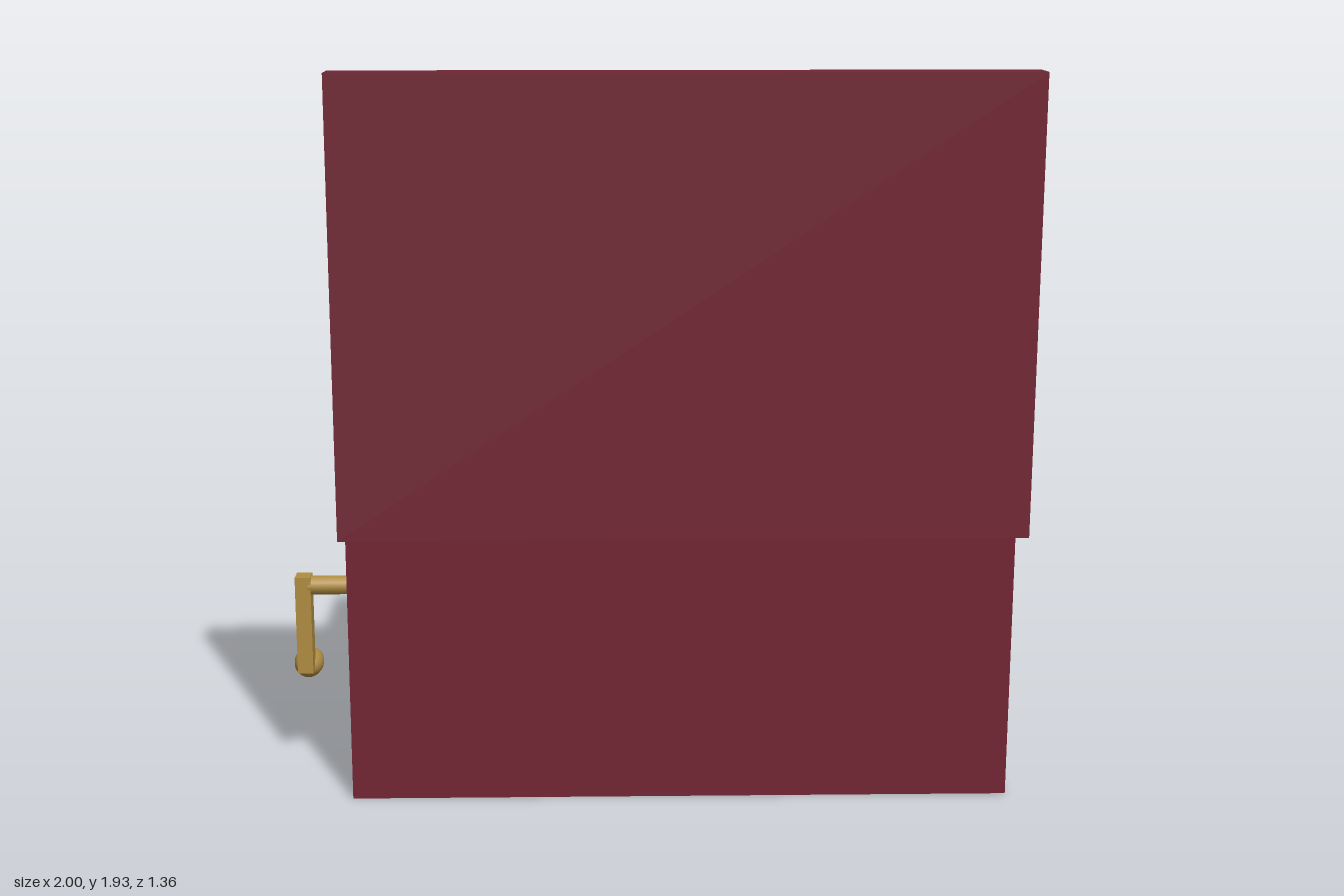
import * as THREE from 'three';

const paint = (color) => new THREE.MeshStandardMaterial({ color });

export function createModel() {
  const root = new THREE.Group();
  const wood = paint(0x722534);
  const velvet = paint(0x222228);
  const brass = paint(0xb08d42);
  const glass = paint(0xa3b3b8);
  const porcelain = paint(0xdddad4);

  const add = (parent, name, geometry, material, x = 0, y = 0, z = 0) => {
    const mesh = new THREE.Mesh(geometry, material);
    mesh.name = name;
    mesh.position.set(x, y, z);
    parent.add(mesh);
    return mesh;
  };
  // Box given by its extents along each axis
  const block = (parent, name, material, [x0, x1], [y0, y1], [z0, z1]) =>
    add(parent, name, new THREE.BoxGeometry(x1 - x0, y1 - y0, z1 - z0), material,
      (x0 + x1) / 2, (y0 + y1) / 2, (z0 + z1) / 2);

  // Case, raised stage and brass trim
  block(root, 'case', wood, [-0.762, 0.985], [0, 0.76], [-0.65, 0.514]);
  block(root, 'stage', velvet, [-0.706, 0.925], [0.75, 0.807], [-0.598, 0.456]);
  block(root, 'trimBand', brass, [-0.775, 0.997], [0.165, 0.245], [-0.68, -0.645]);

  // Upright lid with mirror
  const lid = new THREE.Group();
  lid.name = 'lid';
  root.add(lid);
  block(lid, 'lidPanel', wood, [-0.762, 0.985], [0.763, 1.93], [0.587, 0.678]);
  block(lid, 'mirror', glass, [-0.645, 0.867], [0.882, 1.815], [0.575, 0.59]);

  // Dancer on her post
  const dancer = new THREE.Group();
  dancer.name = 'dancer';
  dancer.position.set(0.11, 0, -0.068);
  root.add(dancer);
  add(dancer, 'post', new THREE.CylinderGeometry(0.023, 0.023, 0.18, 12), brass, 0, 0.88, 0);
  add(dancer, 'skirt', new THREE.ConeGeometry(0.125, 0.2, 12), porcelain, 0, 1.04, 0);
  add(dancer, 'torso', new THREE.CylinderGeometry(0.026, 0.033, 0.185, 12), porcelain, 0, 1.178, 0);
  add(dancer, 'head', new THREE.SphereGeometry(0.051, 16, 12), porcelain, 0, 1.307, 0);
  for (const side of [-1, 1]) {
    const arm = add(dancer, side > 0 ? 'leftArm' : 'rightArm',
      new THREE.CylinderGeometry(0.014, 0.018, 0.135, 8), porcelain, side * 0.066, 1.297, 0);
    arm.rotation.z = -side * 0.75;
  }

  // Winding crank
  const crank = new THREE.Group();
  crank.name = 'crank';
  root.add(crank);
  const shaft = add(crank, 'crankShaft', new THREE.CylinderGeometry(0.028, 0.028, 0.22, 12),
    brass, -0.835, 0.411, -0.07);
  shaft.rotation.z = Math.PI / 2;
  block(crank, 'crankArm', brass, [-0.98, -0.935], [0.15, 0.44], [-0.098, -0.044]);
  const knob = add(crank, 'crankKnob', new THREE.SphereGeometry(0.043, 16, 12),
    brass, -0.958, 0.155, -0.13);
  knob.scale.z = 1.45;

  return root;
}
